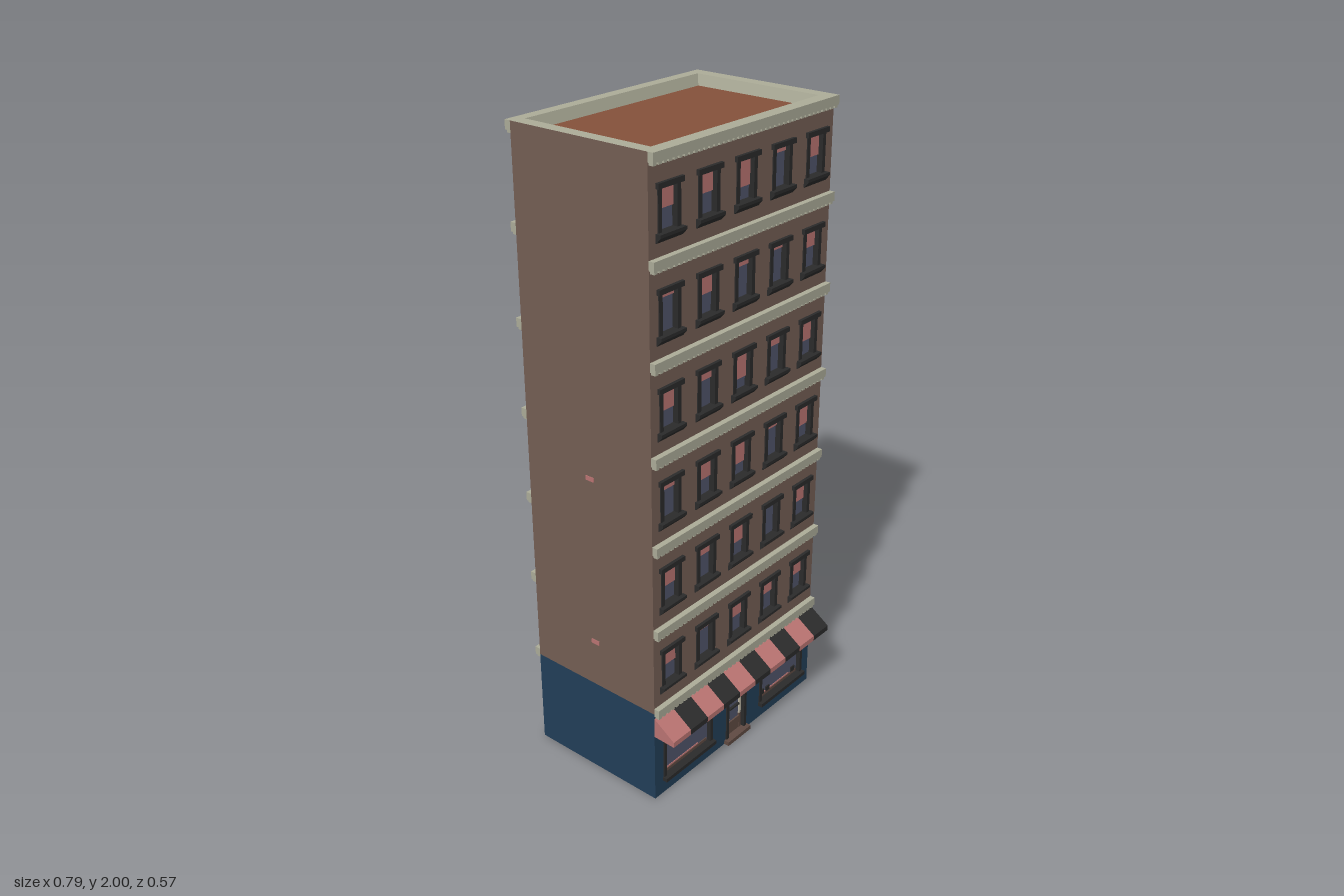
import * as THREE from 'three';

const mat = (name, color, side = THREE.FrontSide) => {
  const m = new THREE.MeshStandardMaterial({ color, side });
  m.name = name;
  return m;
};

export function createModel() {
  const brick = mat('brown brick', 0x745e54);
  const cream = mat('cream stone', 0xacac98);
  const blue = mat('navy shopfront', 0x223e58);
  const rust = mat('rust roof', 0x85513b);
  const glass = mat('slate glass', 0x50546a, THREE.DoubleSide);
  const dark = mat('charcoal trim', 0x2b2b2b);
  const pink = mat('faded rose', 0xba7472, THREE.DoubleSide);
  const wood = mat('dark wood', 0x5f4a42);
  const tan = mat('pale tan', 0xb9b2a0);

  const root = new THREE.Group();
  root.name = 'apartmentBuilding';
  const group = (name) => {
    const g = new THREE.Group();
    g.name = name;
    root.add(g);
    return g;
  };
  const add = (parent, name, geo, m) => {
    const mesh = new THREE.Mesh(geo, m);
    mesh.name = name;
    parent.add(mesh);
    return mesh;
  };
  // Box given by its limits on each axis
  const box = (parent, name, m, x0, x1, y0, y1, z0, z1) => {
    const geo = new THREE.BoxGeometry(x1 - x0, y1 - y0, z1 - z0);
    geo.translate((x0 + x1) / 2, (y0 + y1) / 2, (z0 + z1) / 2);
    return add(parent, name, geo, m);
  };
  // Profile in (z, y) swept along x from x0 to x1
  const sweepX = (parent, name, m, pts, x0, x1) => {
    const shape = new THREE.Shape(pts.map(([z, y]) => new THREE.Vector2(-z, y)));
    const geo = new THREE.ExtrudeGeometry(shape, { depth: x1 - x0, bevelEnabled: false });
    geo.rotateY(Math.PI / 2);
    geo.translate(x0, 0, 0);
    return add(parent, name, geo, m);
  };
  const rectPath = (P, x0, x1, y0, y1) => {
    const p = new P();
    p.moveTo(x0, y0).lineTo(x1, y0).lineTo(x1, y1).lineTo(x0, y1).closePath();
    return p;
  };
  // Front wall with rectangular openings
  const wall = (parent, name, m, y0, y1, holes) => {
    const s = rectPath(THREE.Shape, -W, W, y0, y1);
    for (const h of holes) s.holes.push(rectPath(THREE.Path, ...h));
    const geo = new THREE.ExtrudeGeometry(s, { depth: 0.02, bevelEnabled: false });
    geo.translate(0, 0, 0.19);
    return add(parent, name, geo, m);
  };

  const W = 0.395, BACK = -0.265, FRONT = 0.21, FLOOR = 0.277, BASE = 0.318, ROOF = 1.965;
  const columns = [-0.316, -0.158, 0, 0.158, 0.316];

  // Upper storeys
  const tower = group('upperStoreys');
  box(tower, 'brickBody', brick, -W, W, BASE, ROOF, BACK, 0.19);
  const openings = [];
  for (let f = 0; f < 6; f++) {
    for (const x of columns) openings.push([x - 0.036, x + 0.036, 0.39 + f * FLOOR, 0.522 + f * FLOOR]);
  }
  wall(tower, 'frontBrickWall', brick, BASE, ROOF, openings);

  // Windows, with blind heights from the lowest floor up
  const blinds = [
    [0.06, 0.025, 0.06, 0.055, 0.06], [0.065, 0.04, 0.07, 0.02, 0.065],
    [0.03, 0.065, 0.08, 0.025, 0.075], [0.065, 0.035, 0.085, 0.035, 0.07],
    [0.02, 0.06, 0.025, 0.02, 0.055], [0.06, 0.06, 0.08, 0.02, 0.065]
  ];
  const windows = group('windows');
  blinds.forEach((row, f) => row.forEach((drop, i) => {
    const w = new THREE.Group();
    w.name = 'window';
    w.position.set(columns[i], 0.38 + f * FLOOR, 0);
    windows.add(w);
    box(w, 'pane', glass, -0.036, 0.036, 0.01, 0.142, 0.191, 0.195);
    box(w, 'blind', pink, -0.03, 0.03, 0.137 - drop, 0.137, 0.195, 0.199);
    for (const s of [-1, 1]) box(w, 'jamb', dark, s * 0.037 - 0.007, s * 0.037 + 0.007, 0, 0.142, 0.191, 0.213);
    box(w, 'lintel', dark, -0.051, 0.051, 0.136, 0.151, 0.191, 0.22);
    sweepX(w, 'sill', dark, [[0.191, -0.004], [0.212, -0.004], [0.226, 0.012], [0.226, 0.021], [0.191, 0.021]], -0.052, 0.052);
  }));

  // Stone bands with a row of small teeth below, front and back
  const bands = group('stoneBands');
  for (let f = 0; f <= 6; f++) {
    const y = 0.303 + f * FLOOR;
    for (const [z0, z1, t0, t1] of [[FRONT, 0.228, FRONT, 0.225], [-0.285, BACK, -0.282, BACK]]) {
      box(bands, 'band', cream, -W, W, y + 0.008, y + 0.035, z0, z1);
      for (let i = 0; i < 40; i++) {
        const x = -W + (i + 0.5) * (2 * W / 40);
        box(bands, 'tooth', cream, x - 0.006, x + 0.006, y, y + 0.008, t0, t1);
      }
    }
  }

  // Parapet made of rectangular rings joined by quads
  const ring = (x, z0, z1, y) => [[-x, y, z1], [x, y, z1], [x, y, z0], [-x, y, z0]];
  const joinRings = (a, b) => {
    const pos = [];
    for (let i = 0; i < 4; i++) {
      const j = (i + 1) % 4;
      pos.push(...a[i], ...a[j], ...b[j], ...a[i], ...b[j], ...b[i]);
    }
    const g = new THREE.BufferGeometry();
    g.setAttribute('position', new THREE.Float32BufferAttribute(pos, 3));
    g.computeVertexNormals();
    return g;
  };
  const parapet = group('parapet');
  const outerLow = ring(W, BACK, FRONT, ROOF), outerTop = ring(W, BACK, FRONT, 2);
  const innerTop = ring(0.355, -0.25, 0.186, 2), innerLow = ring(0.346, -0.24, 0.177, ROOF);
  add(parapet, 'parapetOuter', joinRings(outerLow, outerTop), brick);
  add(parapet, 'parapetTop', joinRings(outerTop, innerTop), cream);
  add(parapet, 'parapetInner', joinRings(innerTop, innerLow), cream);
  box(parapet, 'roofDeck', rust, -0.346, 0.346, ROOF, ROOF + 0.002, -0.24, 0.177);

  // Hollow ground floor, open below
  const shop = group('groundFloor');
  for (const s of [-1, 1]) box(shop, 'sideWall', blue, s * 0.3925 - 0.0025, s * 0.3925 + 0.0025, 0, BASE, BACK, 0.19);
  box(shop, 'backWall', blue, -0.39, 0.39, 0, BASE, BACK, BACK + 0.005);
  const shopOpenings = [[-0.345, -0.133, 0.058, 0.198], [0.133, 0.345, 0.058, 0.198], [-0.042, 0.042, 0.012, 0.198]];
  wall(shop, 'shopfrontWall', blue, 0, BASE, shopOpenings);

  // Display windows
  for (const s of [-1, 1]) {
    const g = new THREE.Group();
    g.name = 'displayWindow';
    g.position.x = s * 0.239;
    shop.add(g);
    box(g, 'displayGlass', glass, -0.106, 0.106, 0.058, 0.198, 0.195, 0.199);
    box(g, 'displayShelf', wood, -0.1, 0.1, 0.062, 0.072, 0.192, 0.202);
    box(g, 'displayCloth', pink, -0.1, 0.06, 0.072, 0.077, 0.193, 0.201);
    for (const e of [-1, 1]) box(g, 'displayJamb', dark, e * 0.111 - 0.006, e * 0.111 + 0.006, 0.055, 0.2, 0.189, 0.214);
    box(g, 'displayHead', dark, -0.118, 0.118, 0.197, 0.209, 0.189, 0.22);
    box(g, 'displaySill', dark, -0.12, 0.12, 0.047, 0.06, 0.189, 0.226);
  }
  box(shop, 'hangingCard', tan, -0.17, -0.143, 0.14, 0.156, 0.199, 0.203);
  for (const x of [0.15, 0.18, 0.32]) box(shop, 'displayItem', dark, x - 0.01, x + 0.01, 0.072, 0.09, 0.199, 0.203);

  // Door
  const door = group('door');
  box(door, 'doorPane', glass, -0.042, 0.042, 0.012, 0.198, 0.194, 0.198);
  box(door, 'transom', pink, -0.036, 0.036, 0.172, 0.197, 0.198, 0.202);
  box(door, 'doorTopRail', tan, -0.034, 0.034, 0.158, 0.166, 0.198, 0.204);
  box(door, 'doorLowerPanel', wood, -0.026, 0.026, 0.015, 0.06, 0.198, 0.203);
  for (const s of [-1, 1]) {
    box(door, 'doorStile', tan, s * 0.03 - 0.004, s * 0.03 + 0.004, 0.07, 0.158, 0.198, 0.204);
    box(door, 'doorStileBase', wood, s * 0.03 - 0.004, s * 0.03 + 0.004, 0.015, 0.07, 0.198, 0.204);
    box(door, 'doorJamb', dark, s * 0.045 - 0.006, s * 0.045 + 0.006, 0.012, 0.2, 0.189, 0.214);
  }
  box(door, 'doorHandle', dark, -0.024, 0.024, 0.108, 0.114, 0.198, 0.206);
  box(door, 'doorHead', dark, -0.053, 0.053, 0.197, 0.207, 0.189, 0.218);
  box(door, 'doorStep', wood, -0.058, 0.058, 0, 0.014, 0.19, 0.228);

  // Striped awning
  const awning = group('awning');
  const stripe = 2 * W / 10;
  for (let i = 0; i < 10; i++) {
    sweepX(awning, 'awningStripe', i % 2 ? dark : pink,
      [[FRONT, 0.236], [0.285, 0.234], [0.285, 0.252], [FRONT, 0.302]], -W + i * stripe, -W + (i + 1) * stripe);
  }

  // Odd bricks showing on the plain walls
  const patches = group('oddBricks');
  for (let k = 0; k < 3; k++) {
    const y = 0.455 + k * 2 * FLOOR;
    box(patches, 'backBrick', pink, 0.085, 0.12, y + 0.002, y + 0.018, BACK - 0.002, BACK);
    box(patches, 'backBrick', pink, 0.112, 0.147, y - 0.024, y - 0.008, BACK - 0.002, BACK);
    if (k < 2) box(patches, 'sideBrick', pink, -W - 0.002, -W, y + 0.012, y + 0.026, -0.035, -0.005);
  }
  box(patches, 'backPaleBrick', tan, -0.3, -0.262, 0.108, 0.126, BACK - 0.002, BACK);
  box(patches, 'backPaleBrick', tan, -0.27, -0.232, 0.082, 0.098, BACK - 0.002, BACK);
  box(patches, 'sidePaleBrick', tan, W, W + 0.002, 0.108, 0.126, -0.135, -0.098);
  box(patches, 'sidePaleBrick', cream, W, W + 0.002, 0.082, 0.096, -0.158, -0.122);

  return root;
}
